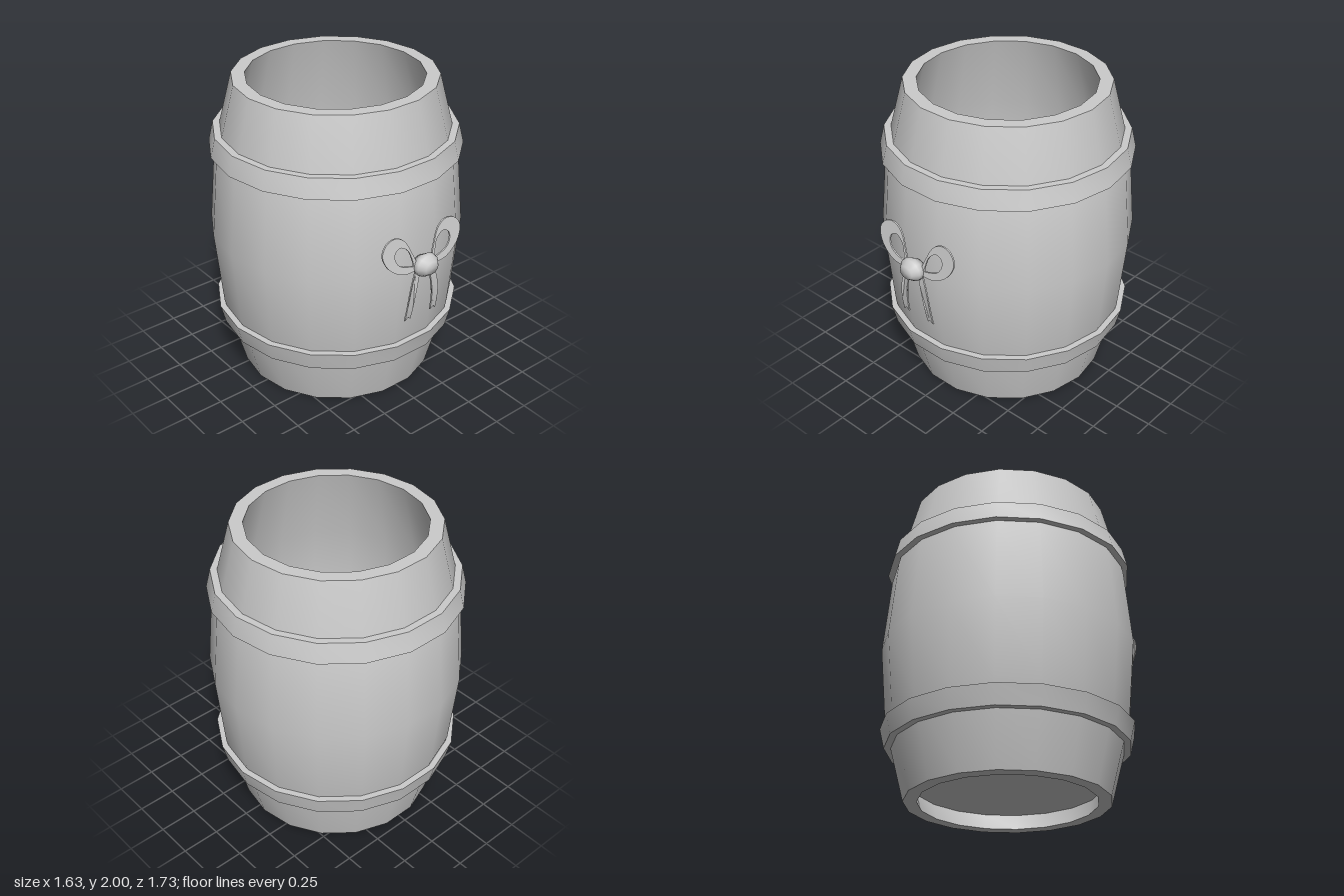
import * as THREE from 'three';
import { toCreasedNormals } from 'three/addons/utils/BufferGeometryUtils.js';

const SIDES = 18;
const material = new THREE.MeshStandardMaterial({ color: 0xcccccc });
const ribbonMaterial = new THREE.MeshStandardMaterial({ color: 0xcccccc, side: THREE.DoubleSide });
const vec = ([x, y]) => new THREE.Vector2(x, y);

// Surface of revolution, smooth around and sharp at the rims
function turned(name, profile, sides = SIDES) {
  const geometry = new THREE.LatheGeometry(profile.map(vec), sides, Math.PI / 2);
  const mesh = new THREE.Mesh(toCreasedNormals(geometry, 0.6), material);
  mesh.name = name;
  return mesh;
}

// Smooth list of points through a few control points
const smooth = (points, n) => new THREE.SplineCurve(points.map(vec)).getPoints(n);

// Thin ribbon cut from a shape, then bent in depth by height
function ribbon(name, shape, depthAt) {
  const geometry = new THREE.ExtrudeGeometry(shape, { depth: 0.01, bevelEnabled: false });
  const p = geometry.attributes.position;
  for (let i = 0; i < p.count; i++) p.setZ(i, p.getZ(i) - 0.005 + depthAt(p.getY(i)));
  const mesh = new THREE.Mesh(toCreasedNormals(geometry, 0.6), ribbonMaterial);
  mesh.name = name;
  return mesh;
}

function bowHalf(side) {
  const half = new THREE.Group();
  half.name = side > 0 ? 'leftBowHalf' : 'rightBowHalf';
  const mirror = ([x, y]) => [x * side, y];

  // Loop with a teardrop opening, leaning back at the top
  const loop = new THREE.Shape(smooth([
    [0.05, 1.05], [0.085, 1.14], [0.13, 1.23], [0.196, 1.27], [0.27, 1.255],
    [0.31, 1.19], [0.27, 1.1], [0.17, 1.035], [0.05, 1.03],
  ].map(mirror), 32));
  loop.holes.push(new THREE.Path(smooth([
    [0.085, 1.075], [0.11, 1.16], [0.165, 1.203], [0.21, 1.185],
    [0.218, 1.14], [0.18, 1.09], [0.09, 1.06],
  ].map(mirror), 24)));
  half.add(ribbon('bowLoop', loop, (y) => 0.79 - 0.205 * (y - 1.05)));

  // Hanging tail with a notched end
  const tail = new THREE.Shape([
    ...smooth([[0.03, 1.02], [0.052, 0.93], [0.07, 0.82], [0.082, 0.672]].map(mirror), 10),
    vec(mirror([0.103, 0.695])),
    ...smooth([[0.125, 0.67], [0.12, 0.8], [0.105, 0.91], [0.07, 1.02]].map(mirror), 10),
  ]);
  half.add(ribbon('bowTail', tail, (y) => 0.795 - 0.5 * (y - 0.9) ** 2));
  return half;
}

export function createModel() {
  const model = new THREE.Group();
  model.name = 'barrelWithBow';

  const barrel = new THREE.Group();
  barrel.name = 'barrel';
  barrel.position.z = -0.06;
  model.add(barrel);

  // Hollow open-topped body with a recessed bottom
  barrel.add(turned('body', [
    [0, 0.1], [0.58, 0.1], [0.555, 0], [0.64, 0], [0.77, 0.5], [0.815, 1], [0.77, 1.5], [0.64, 2],
    [0.555, 2], [0.685, 1.5], [0.73, 1], [0.685, 0.5], [0.594, 0.15], [0, 0.15],
  ]));

  // Hoops, both flaring towards the middle of the barrel
  const hoop = [[0.7, 0.335], [0.77, 0.335], [0.8, 0.46], [0.72, 0.46]];
  barrel.add(turned('lowerHoop', hoop));
  barrel.add(turned('upperHoop', hoop.map(([r, y]) => [r, 2.005 - y]).reverse()));

  // Bow on the front
  const bow = new THREE.Group();
  bow.name = 'bow';
  bow.add(bowHalf(1), bowHalf(-1));
  const knot = turned('knot', [[0, -0.058], [0.05, -0.055], [0.088, -0.005], [0.083, 0.02], [0.05, 0.058], [0, 0.061]], 14);
  knot.geometry = toCreasedNormals(knot.geometry, 1.2);
  knot.rotation.x = Math.PI / 2;
  knot.scale.z = 0.85;
  knot.position.set(0, 1.047, 0.803);
  bow.add(knot);
  model.add(bow);
  return model;
}
